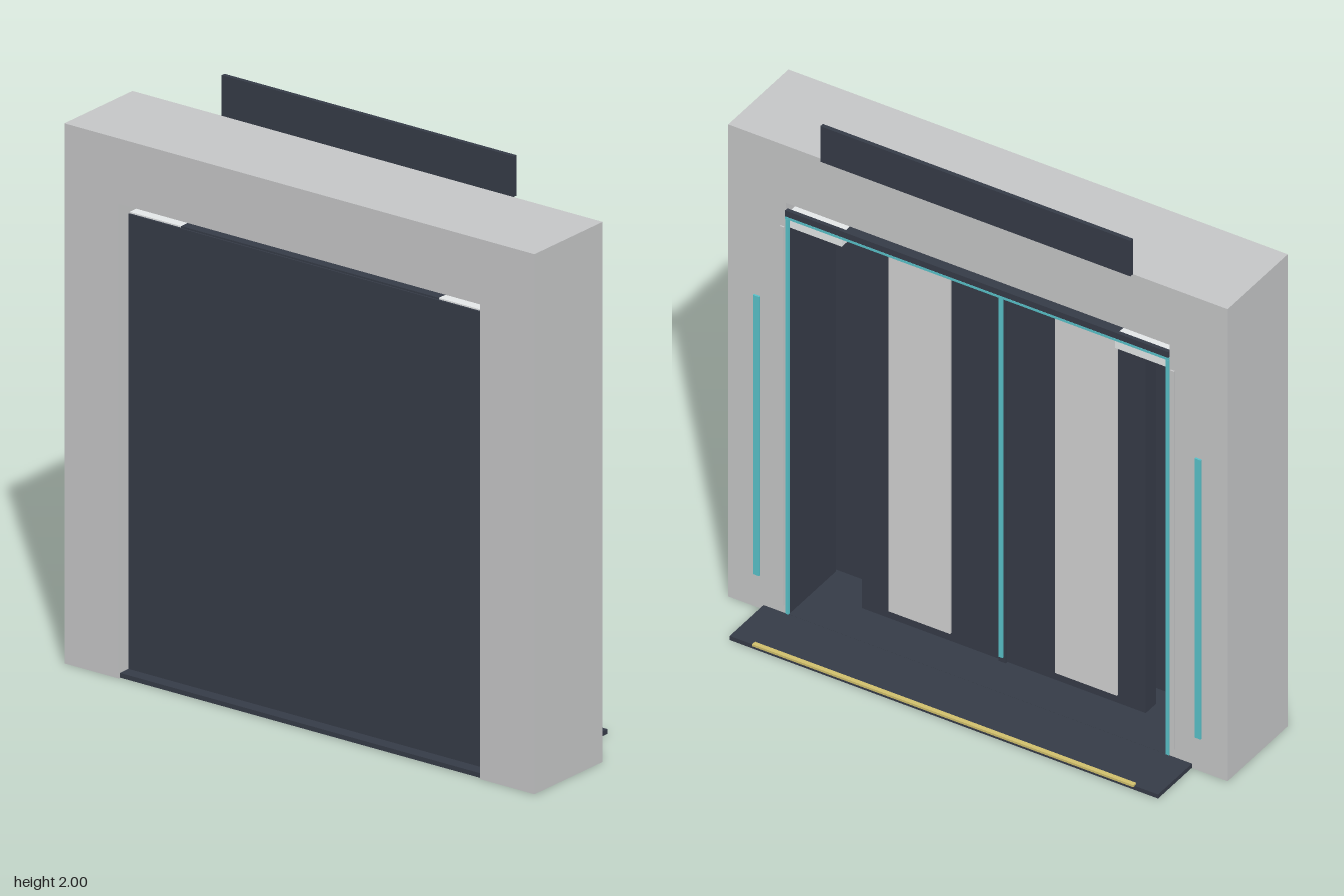
import * as THREE from 'three';

const paint = (name, color) => {
  const m = new THREE.MeshStandardMaterial({ color });
  m.name = name;
  return m;
};

export function createModel() {
  const grey = paint('frame grey', 0xc4c5c6);
  const navy = paint('dark navy', 0x353b47);
  const pale = paint('pale panel', 0xd0d0d0);
  const light = paint('lamp white', 0xe6e9ea);
  const teal = paint('teal light', 0x58c0c8);
  const yellow = paint('yellow edge', 0xd0bf6c);

  const model = new THREE.Group();
  model.name = 'doorway';

  // Box given by its extents on each axis
  const box = (name, mat, x0, x1, y0, y1, z0, z1) => {
    const mesh = new THREE.Mesh(new THREE.BoxGeometry(x1 - x0, y1 - y0, z1 - z0), mat);
    mesh.position.set((x0 + x1) / 2, (y0 + y1) / 2, (z0 + z1) / 2);
    mesh.name = name;
    model.add(mesh);
  };
  // The same box on both sides of x = 0
  const pair = (name, mat, x0, x1, ...rest) => {
    box(name + 'Left', mat, x0, x1, ...rest);
    box(name + 'Right', mat, -x1, -x0, ...rest);
  };

  // Portal frame: one U-shaped outline pushed through the wall depth
  const outline = new THREE.Shape([
    [-0.95, 0], [-0.73, 0], [-0.73, 1.635], [0.73, 1.635],
    [0.73, 0], [0.95, 0], [0.95, 1.86], [-0.95, 1.86],
  ].map(([x, y]) => new THREE.Vector2(x, y)));
  const frame = new THREE.Mesh(
    new THREE.ExtrudeGeometry(outline, { depth: 0.36, bevelEnabled: false }), grey);
  frame.position.z = -0.075;
  frame.name = 'frame';
  model.add(frame);

  // Sign board above the frame
  box('signBoard', navy, -0.59, 0.59, 1.86, 2, -0.09, -0.075);

  // Floor, projecting sill and its marked edge
  box('floor', navy, -0.729, 0.729, 0.002, 0.018, -0.075, 0.28);
  box('sill', navy, -0.815, 0.815, 0.002, 0.018, -0.278, -0.0755);
  box('sillEdge', yellow, -0.725, 0.725, 0.016, 0.024, -0.285, -0.268);

  // Recess: closing wall, side linings, ceiling and header
  box('closingWall', navy, -0.729, 0.729, 0.018, 1.585, 0.215, 0.235);
  pair('sideLining', navy, 0.719, 0.729, 0.018, 1.54, -0.07, 0.205);
  box('ceiling', navy, -0.52, 0.52, 1.583, 1.591, -0.07, 0.23);
  box('header', navy, -0.729, 0.729, 1.587, 1.61, -0.082, -0.068);
  box('headerLight', teal, -0.729, 0.729, 1.577, 1.586, -0.082, -0.073);

  // Lamp boxes in the upper corners
  pair('lampBox', light, 0.52, 0.729, 1.54, 1.59, -0.071, 0.228);

  // Edge trim and light strips on the posts
  pair('postTrim', grey, 0.735, 0.75, 0.05, 1.54, -0.081, -0.075);
  pair('edgeLight', teal, 0.717, 0.729, 0.02, 1.575, -0.08, -0.071);
  pair('postLight', teal, 0.828, 0.852, 0.13, 1.23, -0.082, -0.075);

  // Double doors with pale panels and a lit middle seam
  pair('doorLeaf', navy, 0.008, 0.54, 0.018, 1.48, 0.08, 0.14);
  pair('doorPanel', pale, 0.2, 0.435, 0.05, 1.46, 0.073, 0.08);
  box('doorSeam', navy, -0.013, 0.013, 0.018, 1.48, 0.07, 0.135);
  box('seamLight', teal, -0.006, 0.01, 0.04, 1.46, 0.063, 0.07);

  return model;
}
